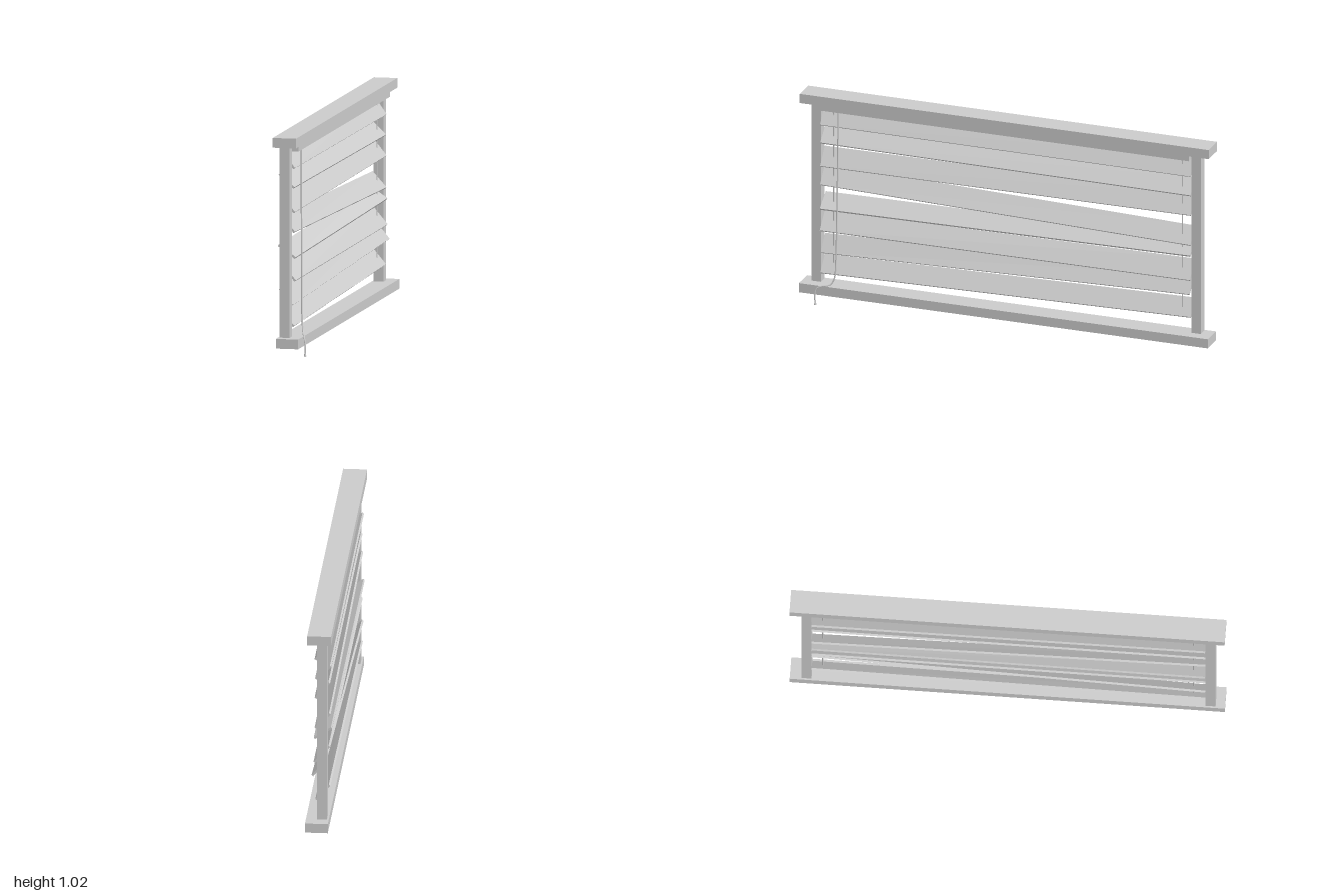
import * as THREE from 'three';

const material = new THREE.MeshStandardMaterial({ color: 0xcccccc, flatShading: true });
const smooth = new THREE.MeshStandardMaterial({ color: 0xcccccc });

function add(group, name, geometry, mat = material) {
  const mesh = new THREE.Mesh(geometry, mat);
  mesh.name = name;
  group.add(mesh);
  return mesh;
}

// Box given by its lower and upper limits on each axis
function block(group, name, [x0, x1], [y0, y1], [z0, z1]) {
  const mesh = add(group, name, new THREE.BoxGeometry(x1 - x0, y1 - y0, z1 - z0));
  mesh.position.set((x0 + x1) / 2, (y0 + y1) / 2, (z0 + z1) / 2);
}

// Slat whose two ends may sit at different heights and tilts.
// Each end is [top x, top y, bottom x, bottom y].
function slatGeometry(left, right, thickness = 0.01) {
  const geometry = new THREE.BoxGeometry(1, 1, 1);
  const p = geometry.attributes.position;
  for (let i = 0; i < p.count; i++) {
    const [tx, ty, bx, by] = p.getZ(i) > 0 ? left : right;
    const along = new THREE.Vector2(tx - bx, ty - by);
    const across = new THREE.Vector2(along.y, -along.x).normalize();
    const point = new THREE.Vector2(bx, by)
      .addScaledVector(along, p.getY(i) + 0.5)
      .addScaledVector(across, p.getX(i) * thickness);
    p.setXYZ(i, point.x, point.y, p.getZ(i) > 0 ? 0.91 : -0.9);
  }
  geometry.computeVertexNormals();
  return geometry;
}

export function createModel() {
  const model = new THREE.Group();
  model.name = 'windowBlind';

  // Window frame
  block(model, 'lintel', [-0.07, 0.04], [0.975, 1.02], [-1, 1]);
  block(model, 'sill', [-0.055, 0.05], [0.045, 0.09], [-1, 1]);
  block(model, 'frontPost', [-0.047, 0], [0.09, 0.975], [0.91, 0.957]);
  block(model, 'backPost', [-0.047, 0], [0.09, 0.975], [-0.946, -0.9]);

  // Head rail carrying the slats
  block(model, 'headRail', [-0.03, 0.03], [0.947, 0.975], [-0.9, 0.91]);

  // Crooked slats, front end then back end
  const slats = [
    [[-0.047, 0.943, 0.01, 0.868], [-0.047, 0.943, 0.01, 0.863]],
    [[-0.06, 0.841, 0.008, 0.778], [-0.06, 0.832, 0.008, 0.768]],
    [[-0.053, 0.741, 0.01, 0.664], [-0.053, 0.75, 0.01, 0.672]],
    [[-0.056, 0.651, 0.01, 0.573], [-0.056, 0.597, 0.01, 0.524]],
    [[-0.064, 0.511, 0.015, 0.454], [-0.064, 0.527, 0.015, 0.473]],
    [[-0.054, 0.422, 0.015, 0.348], [-0.054, 0.435, 0.015, 0.353]],
    [[-0.058, 0.309, 0.0, 0.234], [-0.036, 0.36, 0.024, 0.287]],
    [[-0.055, 0.208, 0.007, 0.137], [-0.055, 0.242, 0.007, 0.168]],
  ];
  slats.forEach(([front, back], i) => add(model, `slat${i + 1}`, slatGeometry(front, back)));

  // Thin cords threaded through the slats
  for (const [name, z] of [['frontLadderCord', 0.855], ['backLadderCord', -0.85]]) {
    const cord = add(model, name, new THREE.CylinderGeometry(0.003, 0.003, 0.77, 6), smooth);
    cord.position.set(-0.02, 0.57, z);
  }

  // Pull cord hanging down and spilling over the sill
  const path = new THREE.CatmullRomCurve3([
    [0.022, 0.95, 0.818], [0.023, 0.7, 0.82], [0.025, 0.4, 0.824], [0.027, 0.2, 0.828],
    [0.031, 0.13, 0.833], [0.038, 0.098, 0.85], [0.05, 0.091, 0.885],
    [0.059, 0.08, 0.91], [0.064, 0.05, 0.918], [0.063, 0.012, 0.915],
  ].map((p) => new THREE.Vector3(...p)));
  add(model, 'pullCord', new THREE.TubeGeometry(path, 80, 0.0035, 6), smooth);
  const tip = add(model, 'pullCordTip', new THREE.CylinderGeometry(0.003, 0.006, 0.02, 8), smooth);
  tip.position.set(0.063, 0.01, 0.915);

  return model;
}
